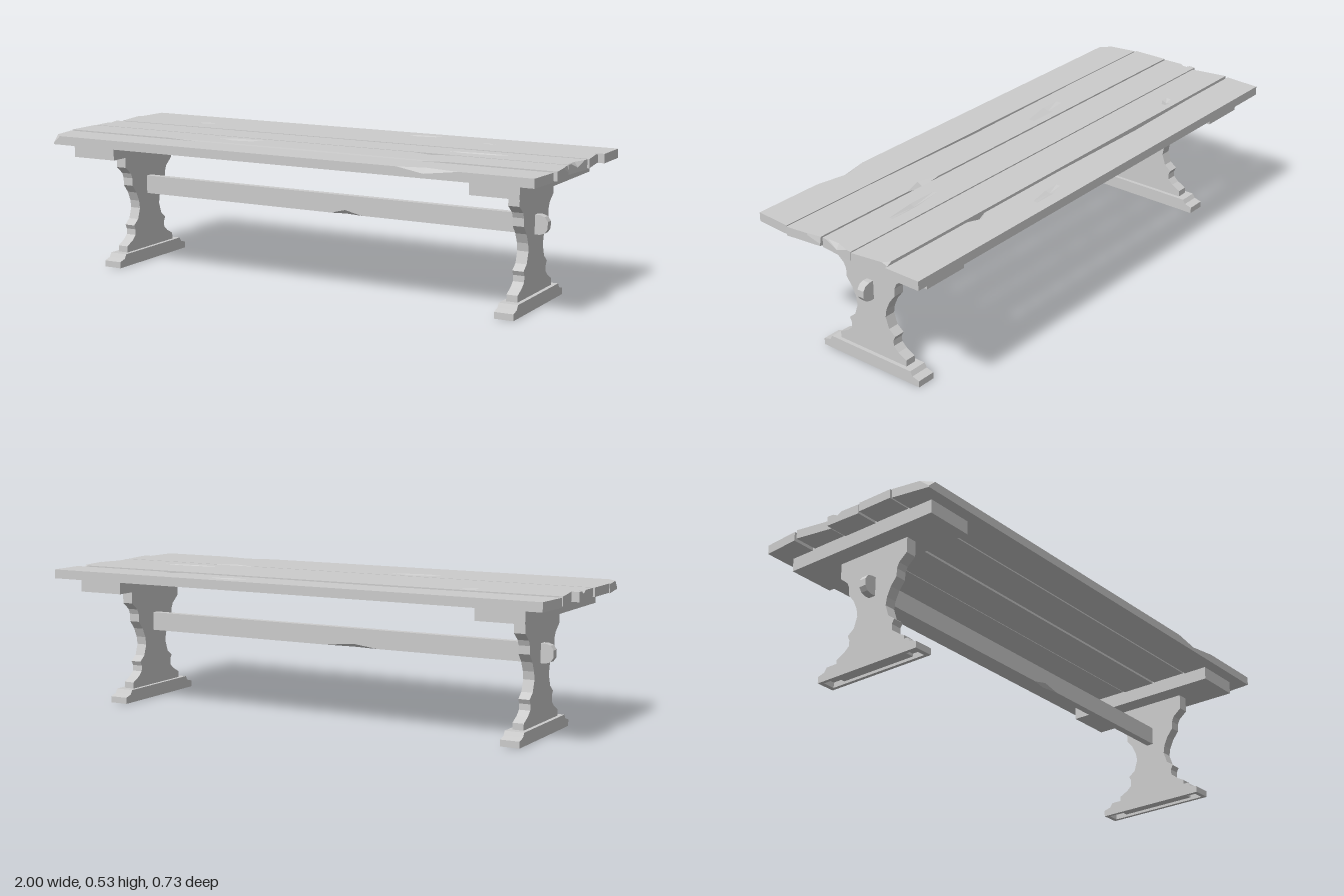
import * as THREE from 'three';

const material = new THREE.MeshStandardMaterial({ color: 0xcccccc, flatShading: true, side: THREE.DoubleSide });

// Rises from 0 at c.x[0] to 1 at c.x[1] and back to 0 at c.x[2]
function tent(c, x) {
  const [a, m, b] = c.x;
  if (x < a || x > b) return 0;
  if (x <= m) return m === a ? 1 : (x - a) / (m - a);
  return (b - x) / (b - m);
}

// Worn board along x, lofted through cross-sections.
// chips bevel a top edge (side 1 = +z, -1 = -z); dents sink a V into the top face.
function board({ width, y0, y1, left, right, chips = [], dents = [] }) {
  const h = width / 2;
  const stations = new Set([left[0], right[0]]);
  for (const c of [...chips, ...dents]) c.x.forEach(x => stations.add(x));
  const xMin = left[0], xMax = right[0];
  const xs = [...stations].filter(x => x >= xMin && x <= xMax).sort((a, b) => a - b);
  const pos = [], index = [], N = 10;
  for (const x of xs) {
    const cut = { '1': [0, 0], '-1': [0, 0] };
    for (const c of chips) {
      const t = tent(c, x);
      if (t > 0) cut[c.side] = [c.w * t, c.d * t];
    }
    const dent = dents.find(d => x >= d.x[0] && x <= d.x[2]) || { x: [9, 9, 9], z: 0, r: 0.02, d: 0 };
    const [fw, fd] = cut['1'], [bw, bd] = cut['-1'];
    const section = [
      [h, y0], [h, y1 - fd], [h - fw, y1],
      [dent.z + dent.r, y1], [dent.z, y1 - dent.d * tent(dent, x)], [dent.z - dent.r, y1],
      [-h + bw, y1], [-h, y1 - bd], [-h, y0], [dent.z, y0],
    ];
    for (const [z, y] of section) {
      const end = x === xMin ? left : x === xMax ? right : null;
      pos.push(end ? THREE.MathUtils.lerp(end[1], end[2], (z + h) / width) : x, y, z);
    }
  }
  for (let i = 0; i < xs.length - 1; i++) {
    for (let k = 0; k < N; k++) {
      const a = i * N + k, b = i * N + (k + 1) % N;
      index.push(a, a + N, b + N, a, b + N, b);
    }
  }
  const last = (xs.length - 1) * N;
  for (let k = 0; k < N - 2; k++) {
    index.push(N - 1, k, k + 1, last + N - 1, last + k + 1, last + k);
  }
  const indexed = new THREE.BufferGeometry();
  indexed.setAttribute('position', new THREE.Float32BufferAttribute(pos, 3));
  indexed.setIndex(index);
  const geometry = indexed.toNonIndexed();
  geometry.computeVertexNormals();
  return geometry;
}

// Symmetric (z, y) half profile, mirrored and given a thickness centred on x
function slab(half, thickness, underside = []) {
  const pts = [...half, ...half.map(([z, y]) => [-z, y]).reverse(), ...underside];
  const shape = new THREE.Shape(pts.map(([z, y]) => new THREE.Vector2(z, y)));
  const g = new THREE.ExtrudeGeometry(shape, { depth: thickness, bevelEnabled: false });
  return g.translate(0, 0, -thickness / 2).rotateY(Math.PI / 2);
}

function add(parent, name, geometry, x = 0, y = 0, z = 0) {
  const mesh = new THREE.Mesh(geometry, material);
  mesh.name = name;
  mesh.position.set(x, y, z);
  parent.add(mesh);
  return mesh;
}

// left/right: [station, x at back edge, x at front edge]
const PLANKS = [
  { z: -0.297, y0: 0.49, y1: 0.524, left: [-1, -0.99, -1], right: [1, 1, 1],
    chips: [{ x: [-0.72, -0.35, 0.1], side: 1, w: 0.008, d: 0.02 }, { x: [0.51, 0.55, 0.6], side: 1, w: 0.022, d: 0.02 }],
    dents: [{ x: [0.19, 0.25, 0.34], z: -0.005, r: 0.018, d: 0.006 }] },
  { z: -0.147, y0: 0.494, y1: 0.527, left: [-1, -1, -0.975], right: [1, 0.98, 1],
    chips: [{ x: [0.96, 1, 1.1], side: -1, w: 0.02, d: 0.01 }],
    dents: [{ x: [-0.67, -0.64, -0.61], z: -0.03, r: 0.018, d: 0.006 }] },
  { z: 0, y0: 0.491, y1: 0.526, left: [-1, -1, -0.995], right: [1, 0.995, 0.98],
    dents: [{ x: [-1.1, -1, -0.985], z: -0.025, r: 0.02, d: 0.01 },
      { x: [0.5, 0.62, 0.74], z: -0.005, r: 0.015, d: 0.008 },
      { x: [0.975, 1, 1.1], z: 0, r: 0.05, d: 0.019 }] },
  { z: 0.148, y0: 0.493, y1: 0.526, left: [-1, -1, -1], right: [1, 0.985, 1],
    chips: [{ x: [-0.55, 0.05, 0.6], side: 1, w: 0.009, d: 0.022 }, { x: [0.4, 0.48, 0.56], side: -1, w: 0.025, d: 0.012 },
      { x: [0.98, 1, 1.1], side: -1, w: 0.07, d: 0.025 }],
    dents: [{ x: [-0.38, -0.3, -0.18], z: -0.015, r: 0.025, d: 0.006 }] },
  { z: 0.297, y0: 0.49, y1: 0.523, left: [-1, -1, -0.975], right: [1, 0.99, 0.98],
    chips: [{ x: [-1.1, -1, -0.945], side: 1, w: 0.035, d: 0.028 }, { x: [0.48, 0.58, 0.71], side: 1, w: 0.025, d: 0.017 }] },
];

const LEG = [
  [0.153, 0.01], [0.153, 0.072], [0.118, 0.09], [0.098, 0.108], [0.097, 0.13], [0.106, 0.147],
  [0.079, 0.168], [0.065, 0.21], [0.07, 0.24], [0.086, 0.275], [0.11, 0.305], [0.111, 0.335],
  [0.12, 0.355], [0.153, 0.382], [0.153, 0.442],
];
const FOOT = [[0.222, 0], [0.222, 0.024], [0.193, 0.032], [0.183, 0.048]];
// Hollow beneath the foot, deeper at both ends of the leg
const FOOT_HOLLOW = [[-0.205, 0], [-0.205, 0.02], [-0.155, 0.02], [-0.155, 0.01],
  [0.155, 0.01], [0.155, 0.02], [0.205, 0.02], [0.205, 0]];

export function createModel() {
  const model = new THREE.Group();
  model.name = 'table';

  // Table top
  const top = new THREE.Group();
  top.name = 'tableTop';
  model.add(top);
  for (const p of PLANKS) add(top, 'plank', board({ width: 0.14, ...p }), 0, 0, p.z);

  // Trestles
  for (const side of [-1, 1]) {
    const trestle = new THREE.Group();
    trestle.name = side > 0 ? 'leftTrestle' : 'rightTrestle';
    trestle.position.x = side * 0.82;
    model.add(trestle);
    add(trestle, 'crossbeam', new THREE.BoxGeometry(0.182, 0.073, 0.644), 0, 0.4765, 0);
    add(trestle, 'leg', slab(LEG, 0.042));
    add(trestle, 'footCore', slab(FOOT, 0.046, FOOT_HOLLOW));
    for (const s of [-1, 1]) add(trestle, 'footCheek', slab(FOOT, 0.013), s * 0.0295, 0, 0);

    // Rounded end of the stretcher, passing through the leg
    const end = new THREE.Shape([[0, 0.262], [0.04, 0.262], [0.058, 0.268], [0.069, 0.284], [0.069, 0.31],
      [0.058, 0.326], [0.04, 0.332], [0, 0.332]].map(([x, y]) => new THREE.Vector2(x, y)));
    const g = new THREE.ExtrudeGeometry(end, { depth: 0.028, bevelEnabled: false }).translate(0, 0, -0.014);
    if (side < 0) g.rotateY(Math.PI);
    add(trestle, 'stretcherEnd', g);
  }

  // Stretcher, turned over so that its chip lies on the lower edge
  const stretcher = add(model, 'stretcher', board({
    width: 0.028, y0: -0.035, y1: 0.035, left: [-0.82, -0.82, -0.82], right: [0.82, 0.82, 0.82],
    chips: [{ x: [0.03, 0.09, 0.16], side: -1, w: 0.012, d: 0.015 }, { x: [-0.2, -0.1, 0.02], side: 1, w: 0.01, d: 0.012 }],
    dents: [{ x: [-0.82, 0, 0.82], z: 0, r: 0.001, d: 0 }],
  }), 0, 0.297, 0);
  stretcher.rotation.x = Math.PI;

  return model;
}
